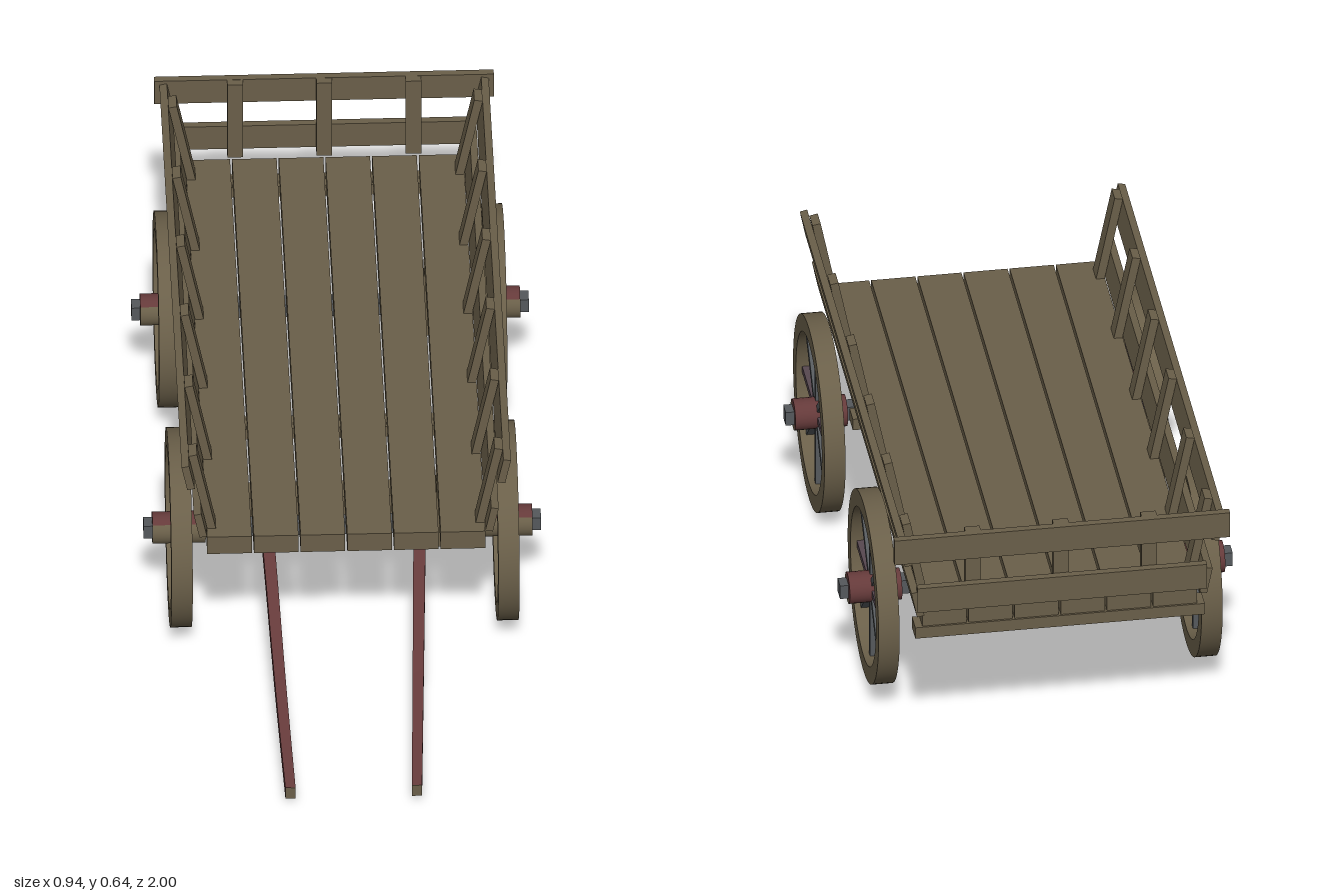
import * as THREE from 'three';
import { toCreasedNormals } from 'three/addons/utils/BufferGeometryUtils.js';

const mat = (name, color) => Object.assign(new THREE.MeshStandardMaterial({ color }), { name });

export function createModel() {
  const wood = mat('weathered wood', 0x6a5f49);
  const red = mat('red paint', 0x653a3a);
  const iron = mat('grey iron', 0x55595c);
  const purple = mat('faded purple', 0x574850);

  const model = new THREE.Group();
  model.name = 'farmCart';

  const add = (parent, name, geometry, material) => {
    const mesh = new THREE.Mesh(geometry, material);
    mesh.name = name;
    parent.add(mesh);
    return mesh;
  };
  const box = (parent, name, material, size, pos) => {
    const mesh = add(parent, name, new THREE.BoxGeometry(...size), material);
    mesh.position.set(...pos);
    return mesh;
  };

  // Floor planks and the cross beams beneath them
  for (let i = 0; i < 6; i++) {
    box(model, 'floorPlank', wood, [0.105, 0.05, 1.455], [(i - 2.5) * 0.11, 0.391, -0.2275]);
  }
  for (const z of [0, -0.935]) {
    box(model, 'crossBeam', wood, [0.69, 0.03, 0.05], [0, 0.352, z]);
  }

  // Sloping sides: two rails outside a row of posts
  for (const s of [1, -1]) {
    const side = new THREE.Group();
    side.name = s > 0 ? 'leftSide' : 'rightSide';
    side.position.set(s * 0.315, 0.41, 0);
    side.rotation.z = -s * 0.2;
    for (const z of [0.444, 0.178, -0.097, -0.363, -0.628, -0.9]) {
      box(side, 'sidePost', wood, [0.02, 0.23, 0.045], [0, 0.113, z]);
    }
    box(side, 'upperSideRail', wood, [0.018, 0.068, 1.49], [s * 0.02, 0.19, -0.245]);
    box(side, 'lowerSideRail', wood, [0.018, 0.068, 1.49], [s * 0.02, 0.045, -0.245]);
    model.add(side);
  }

  // Tailboard
  box(model, 'upperTailRail', wood, [0.8, 0.067, 0.018], [0, 0.6015, -0.986]);
  box(model, 'lowerTailRail', wood, [0.69, 0.067, 0.018], [0, 0.4635, -0.986]);
  for (const x of [-0.21, 0, 0.21]) {
    box(model, 'tailPost', wood, [0.037, 0.215, 0.02], [x, 0.527, -0.967]);
  }

  // Wheel: rim, eight spokes and a two-tone hub, axis along x
  const makeWheel = (radius, name) => {
    const wheel = new THREE.Group();
    wheel.name = name;
    const ring = new THREE.Shape().absarc(0, 0, radius, 0, Math.PI * 2, false);
    ring.holes.push(new THREE.Path().absarc(0, 0, radius - 0.042, 0, Math.PI * 2, true));
    const rim = new THREE.ExtrudeGeometry(ring, { depth: 0.05, bevelEnabled: false, curveSegments: 40 });
    rim.translate(0, 0, -0.025).rotateY(Math.PI / 2);
    add(wheel, 'rim', toCreasedNormals(rim, 0.6), wood);
    for (let i = 0; i < 8; i++) {
      const length = radius - 0.05;
      const spoke = new THREE.BoxGeometry(0.02, length, 0.017);
      spoke.translate(0, 0.02 + length / 2, 0).rotateX(i * Math.PI / 4);
      add(wheel, 'spoke', spoke, i % 4 === 2 ? purple : iron);
    }
    [[wood, -0.75], [red, 0.25]].forEach(([material, start]) => {
      const hub = new THREE.CylinderGeometry(0.038, 0.038, 0.125, 12, 1, false, start * Math.PI, Math.PI);
      add(wheel, 'hubHalf', hub.rotateZ(Math.PI / 2), material);
    });
    return wheel;
  };

  // Axles with brackets and wheels
  for (const [end, y, z, radius] of [['front', 0.236, 0.225, 0.236], ['rear', 0.258, -0.588, 0.232]]) {
    box(model, end + 'Axle', iron, [0.936, 0.036, 0.036], [0, y, z]);
    for (const s of [1, -1]) {
      box(model, end + 'AxleBracket', wood, [0.062, 0.182, 0.06], [s * 0.252, 0.276, z]);
      const wheel = makeWheel(radius, end + 'Wheel');
      wheel.position.set(s * 0.385, y, z);
      model.add(wheel);
    }
  }
  box(model, 'frontBolster', wood, [0.45, 0.055, 0.06], [0, 0.3125, 0.225]);

  // Curved pulling shafts: a side profile extruded, then drawn inward towards the tip
  const shaftCurve = new THREE.CatmullRomCurve3([
    [0.19, 0.325], [0.44, 0.23], [0.674, 0.13], [0.85, 0.075], [1, 0.036],
  ].map(([z, y]) => new THREE.Vector3(z, y, 0)));
  const points = shaftCurve.getPoints(14);
  const edge = (d) => points.map((p) => new THREE.Vector2(p.x, p.y + d));
  const profile = new THREE.Shape([...edge(-0.016), ...edge(0.016).reverse()]);
  for (const s of [1, -1]) {
    const shaft = new THREE.ExtrudeGeometry(profile, { depth: 0.03, bevelEnabled: false });
    shaft.translate(0, 0, -0.015).rotateY(-Math.PI / 2);
    const pos = shaft.attributes.position;
    for (let i = 0; i < pos.count; i++) {
      const t = (pos.getZ(i) - 0.19) / 0.81;
      pos.setX(i, pos.getX(i) * (1 - 0.2 * t) + s * (0.185 - 0.036 * t));
    }
    shaft.computeVertexNormals();
    add(model, 'shaft', toCreasedNormals(shaft, 0.5), red);
    box(model, 'shaftTip', wood, [0.024, 0.031, 0.004], [s * 0.149, 0.036, 0.999]);
  }

  return model;
}
